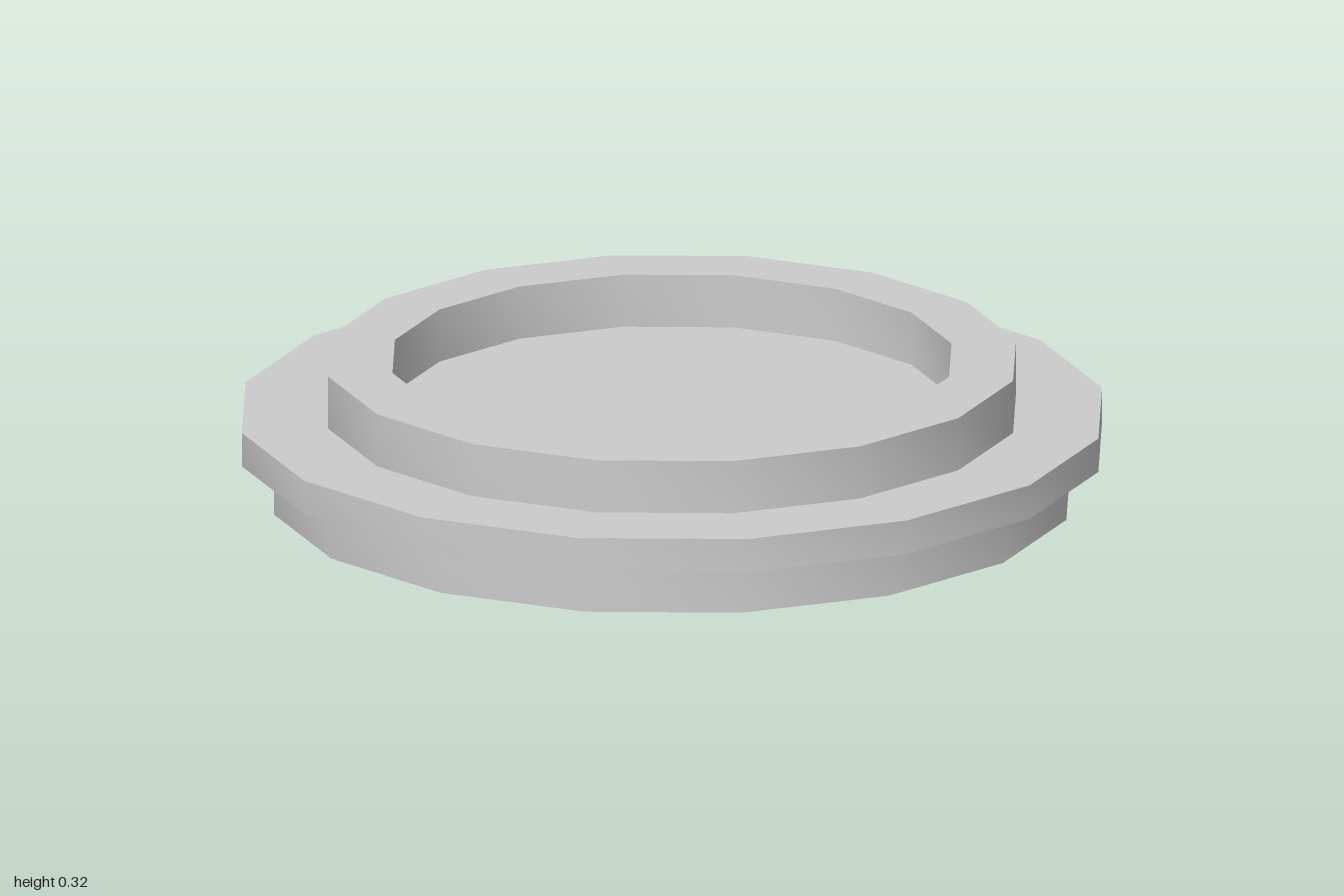
import * as THREE from 'three';
import { toCreasedNormals } from 'three/addons/utils/BufferGeometryUtils.js';

const SIDES = 16;

export function createModel() {
  const group = new THREE.Group();
  const material = new THREE.MeshStandardMaterial({ color: 0xcccccc });

  // Revolves an [radius, height] profile; corners stay sharp, round walls smooth
  const addTurned = (name, profile) => {
    const points = profile.map(([r, y]) => new THREE.Vector2(r, y));
    const geometry = toCreasedNormals(new THREE.LatheGeometry(points, SIDES), Math.PI / 6);
    const mesh = new THREE.Mesh(geometry, material);
    mesh.name = name;
    group.add(mesh);
  };

  // Recessed underside and foot ring
  addTurned('footRing', [[0, 0.09], [0.81, 0.09], [0.81, 0], [0.925, 0], [0.925, 0.12]]);

  // Wide middle flange
  addTurned('flange', [[0.925, 0.12], [1, 0.12], [1, 0.2], [0.8, 0.2]]);

  // Raised rim around the shallow top recess
  addTurned('upperRim', [[0.8, 0.2], [0.8, 0.325], [0.65, 0.325], [0.65, 0.2]]);

  // Floor of the top recess
  addTurned('recessFloor', [[0.65, 0.2], [0, 0.2]]);

  return group;
}
